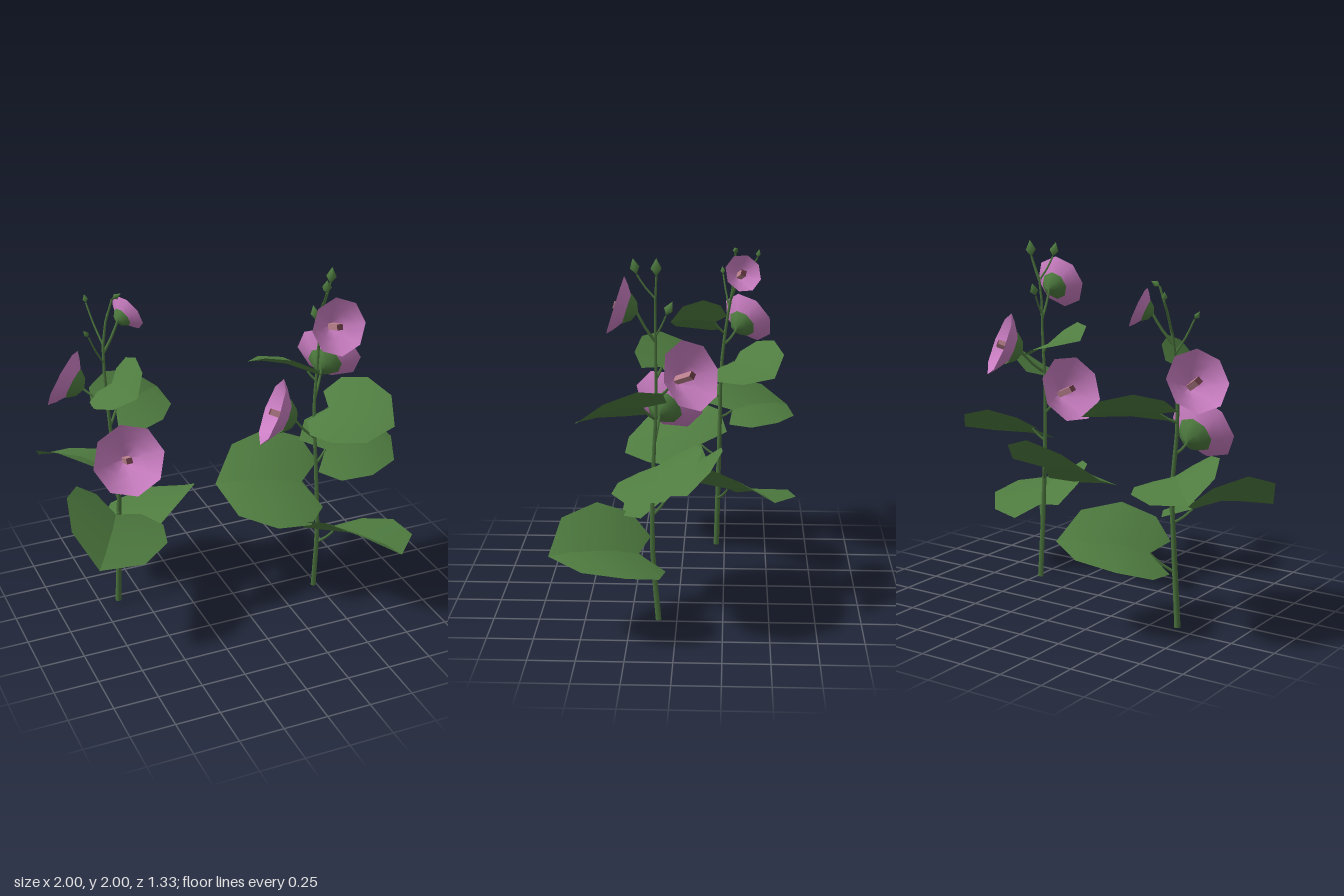
import * as THREE from 'three';

const V = (p) => new THREE.Vector3(...p);
const UP = new THREE.Vector3(0, 1, 0);

function material(name, color, side = THREE.FrontSide) {
  const m = new THREE.MeshStandardMaterial({ color, side });
  m.name = name;
  return m;
}

export function createModel() {
  const leafGreen = material('leaf green', 0x4f7c40, THREE.DoubleSide);
  const stemGreen = material('stem green', 0x49713c);
  const petalPink = material('petal pink', 0xca7ec2, THREE.DoubleSide);
  const pistilPink = material('pistil pink', 0xb87f8c);
  const pistilDark = material('pistil tip brown', 0x6a3c46);

  function add(parent, name, geometry, mat) {
    const mesh = new THREE.Mesh(geometry, mat);
    mesh.name = name;
    parent.add(mesh);
    return mesh;
  }

  // Tapered tube through a few points
  function stalk(parent, name, points, r0, r1) {
    const n = points.length > 3 ? 14 : 4, sides = 6;
    const curve = new THREE.CatmullRomCurve3(points);
    const geo = new THREE.TubeGeometry(curve, n, 1, sides);
    const pos = geo.attributes.position, v = new THREE.Vector3();
    for (let i = 0; i < pos.count; i++) {
      const t = Math.floor(i / (sides + 1)) / n;
      const c = curve.getPointAt(t);
      v.fromBufferAttribute(pos, i).sub(c).multiplyScalar(r0 + (r1 - r0) * t).add(c);
      pos.setXYZ(i, v.x, v.y, v.z);
    }
    add(parent, name, geo, stemGreen);
  }

  // Curved stalk between two points, rising at the far end
  function bentStalk(parent, name, from, to, r) {
    const mid = from.clone().lerp(to, 0.55);
    mid.y -= from.distanceTo(to) * 0.06;
    stalk(parent, name, [from, mid, to], r * 1.2, r);
  }

  // Heart-shaped leaf: two halves folded along an arched midrib
  const outline = [[-0.22, 0.24], [-0.04, 0.46], [0.35, 0.52], [0.78, 0.37]];
  const rib = [0, 0.35, 0.77, 1];
  const halfFaces = [4, 1, 0, 4, 5, 1, 1, 5, 2, 5, 6, 2, 2, 6, 3, 6, 7, 3];
  function leaf(parent, [from, base, tip, width, rollDeg, fold]) {
    const g = new THREE.Group();
    g.name = 'leaf';
    parent.add(g);
    const b = V(base), axis = V(tip).sub(b), len = axis.length();
    const dir = axis.clone().normalize();
    const side = UP.clone().cross(dir).normalize()
      .applyAxisAngle(dir, THREE.MathUtils.degToRad(rollDeg));
    const normal = dir.clone().cross(side);
    const place = (u, v) => b.clone().addScaledVector(axis, u)
      .addScaledVector(side, v * width)
      .addScaledVector(normal, Math.abs(v) * width * fold + 0.28 * len * u * (1 - u));
    for (const s of [1, -1]) {
      const pts = [...outline.map(([u, v]) => place(u, v * s)), ...rib.map((u) => place(u, 0))];
      const geo = new THREE.BufferGeometry().setFromPoints(pts);
      // the mirrored half needs its corners in the opposite order
      geo.setIndex(s > 0 ? [...halfFaces] : [...halfFaces].reverse());
      geo.computeVertexNormals();
      add(g, 'leafHalf', geo, leafGreen);
    }
    bentStalk(g, 'leafStalk', V(from), b, 0.007);
  }

  // Eight-sided funnel flower with a green calyx and a pistil
  function flower(parent, [from, centre, facing, R]) {
    const n = V(facing).normalize(), depth = 0.73 * R;
    const g = new THREE.Group();
    g.name = 'flower';
    g.position.copy(V(centre)).addScaledVector(n, -depth);
    g.quaternion.setFromUnitVectors(UP, n);
    parent.add(g);
    const lathe = (pts) => new THREE.LatheGeometry(
      pts.map(([r, y]) => new THREE.Vector2(r * R, y * R)), 8);
    add(g, 'petals', lathe([[0.001, 0.03], [0.46, 0.32], [0.8, 0.55], [1, 0.73]]), petalPink);
    add(g, 'calyx', lathe([[0.001, -0.05], [0.32, 0.08], [0.53, 0.34]]), leafGreen);
    // box sides in pink, the end facing out in brown
    const pistil = add(g, 'pistil', new THREE.BoxGeometry(0.034, depth, 0.032),
      [pistilPink, pistilPink, pistilDark, pistilPink, pistilPink, pistilPink]);
    pistil.position.y = depth * 0.58;
    bentStalk(parent, 'flowerStalk', V(from), g.position.clone(), 0.007);
  }

  // Diamond-shaped bud on its own stalk
  function bud(parent, [from, base, facing, size]) {
    const pts = [[0.001, 0], [0.32, 0.42], [0.001, 1]].map(([r, y]) => new THREE.Vector2(r * size, y * size));
    const mesh = add(parent, 'bud', new THREE.LatheGeometry(pts, 5), leafGreen);
    mesh.position.copy(V(base));
    mesh.quaternion.setFromUnitVectors(UP, V(facing).normalize());
    bentStalk(parent, 'budStalk', V(from), V(base), 0.005);
  }

  function plant(name, { stem, leaves, flowers, buds }) {
    const g = new THREE.Group();
    g.name = name;
    stalk(g, 'stem', stem.map(V), 0.017, 0.006);
    leaves.forEach((p) => leaf(g, p));
    flowers.forEach((p) => flower(g, p));
    buds.forEach((p) => bud(g, p));
    return g;
  }

  const model = new THREE.Group();
  model.name = 'floweringPlants';

  // leaves: stem point, leaf base, tip, width, roll (degrees, raises the leaf's own left), fold
  // flowers: stem point, rim centre, facing, rim radius; buds: stem point, base, facing, length
  model.add(plant('shortPlant', {
    stem: [[-0.645, 0, -0.2], [-0.62, 0.5, -0.21], [-0.61, 0.75, -0.215], [-0.64, 1.1, -0.22],
      [-0.65, 1.4, -0.25], [-0.645, 1.58, -0.28], [-0.61, 1.75, -0.3], [-0.575, 1.845, -0.3]],
    leaves: [
      [[-0.62, 0.31, -0.205], [-0.51, 0.41, -0.27], [-0.09, 0.475, -0.54], 0.58, -22, 0.19],
      [[-0.615, 0.58, -0.21], [-0.67, 0.64, -0.1], [-0.92, 0.6, 0.36], 0.58, -26, 0.22],
      [[-0.615, 0.83, -0.215], [-0.67, 0.86, -0.29], [-0.95, 0.82, -0.63], 0.47, 22, 0.13],
      [[-0.645, 1.13, -0.22], [-0.58, 1.185, -0.3], [-0.25, 1.17, -0.53], 0.43, 26, 0.1],
      [[-0.65, 1.34, -0.24], [-0.635, 1.41, -0.18], [-0.58, 1.42, 0.08], 0.34, 40, 0.2],
    ],
    flowers: [
      [[-0.63, 0.96, -0.22], [-0.635, 1.055, 0.065], [-0.12, 0.4, 0.9], 0.2],
      [[-0.65, 1.27, -0.235], [-0.85, 1.395, -0.38], [-0.73, 0.42, -0.55], 0.17],
      [[-0.645, 1.55, -0.275], [-0.475, 1.735, -0.345], [0.85, 0.4, -0.35], 0.112],
    ],
    buds: [
      [[-0.61, 1.75, -0.3], [-0.575, 1.845, -0.3], [0.9, 0.4, 0], 0.055],
      [[-0.645, 1.6, -0.28], [-0.682, 1.79, -0.43], [-0.1, 1, -0.2], 0.05],
      [[-0.65, 1.5, -0.265], [-0.74, 1.68, -0.228], [-0.5, 0.8, 0.1], 0.05],
    ],
  }));

  model.add(plant('tallPlant', {
    stem: [[0.48, 0, 0.1], [0.478, 0.4, 0.13], [0.465, 0.7, 0.13], [0.45, 1, 0.12],
      [0.445, 1.2, 0.11], [0.46, 1.5, 0.11], [0.47, 1.75, 0.11], [0.525, 1.91, 0.1]],
    leaves: [
      [[0.48, 0.31, 0.125], [0.55, 0.41, 0.2], [0.74, 0.465, 0.66], 0.6, -20, 0.24],
      [[0.47, 0.6, 0.13], [0.41, 0.69, 0.05], [-0.07, 0.71, -0.09], 0.64, -31, 0.08],
      [[0.455, 0.83, 0.125], [0.53, 0.9, 0.1], [0.99, 0.865, 0.04], 0.5, 26, 0.03],
      [[0.445, 1.13, 0.115], [0.5, 1.205, 0.18], [0.74, 1.19, 0.5], 0.45, 30, 0.08],
      [[0.455, 1.35, 0.11], [0.41, 1.405, 0.08], [0.1, 1.47, -0.03], 0.35, 21, 0.15],
    ],
    flowers: [
      [[0.45, 1.0, 0.12], [0.215, 1.175, 0.05], [-0.85, 0.37, -0.32], 0.195],
      [[0.447, 1.24, 0.11], [0.625, 1.415, -0.08], [0.65, 0.38, -0.65], 0.188],
      [[0.46, 1.55, 0.11], [0.475, 1.745, 0.315], [0, 0.3, 0.95], 0.158],
    ],
    buds: [
      [[0.47, 1.75, 0.11], [0.525, 1.905, 0.1], [0.1, 1, 0], 0.095],
      [[0.47, 1.78, 0.11], [0.45, 1.9, 0.205], [-0.1, 1, 0.25], 0.085],
      [[0.462, 1.58, 0.11], [0.465, 1.69, 0.055], [0, 0.9, -0.4], 0.08],
    ],
  }));

  return model;
}
